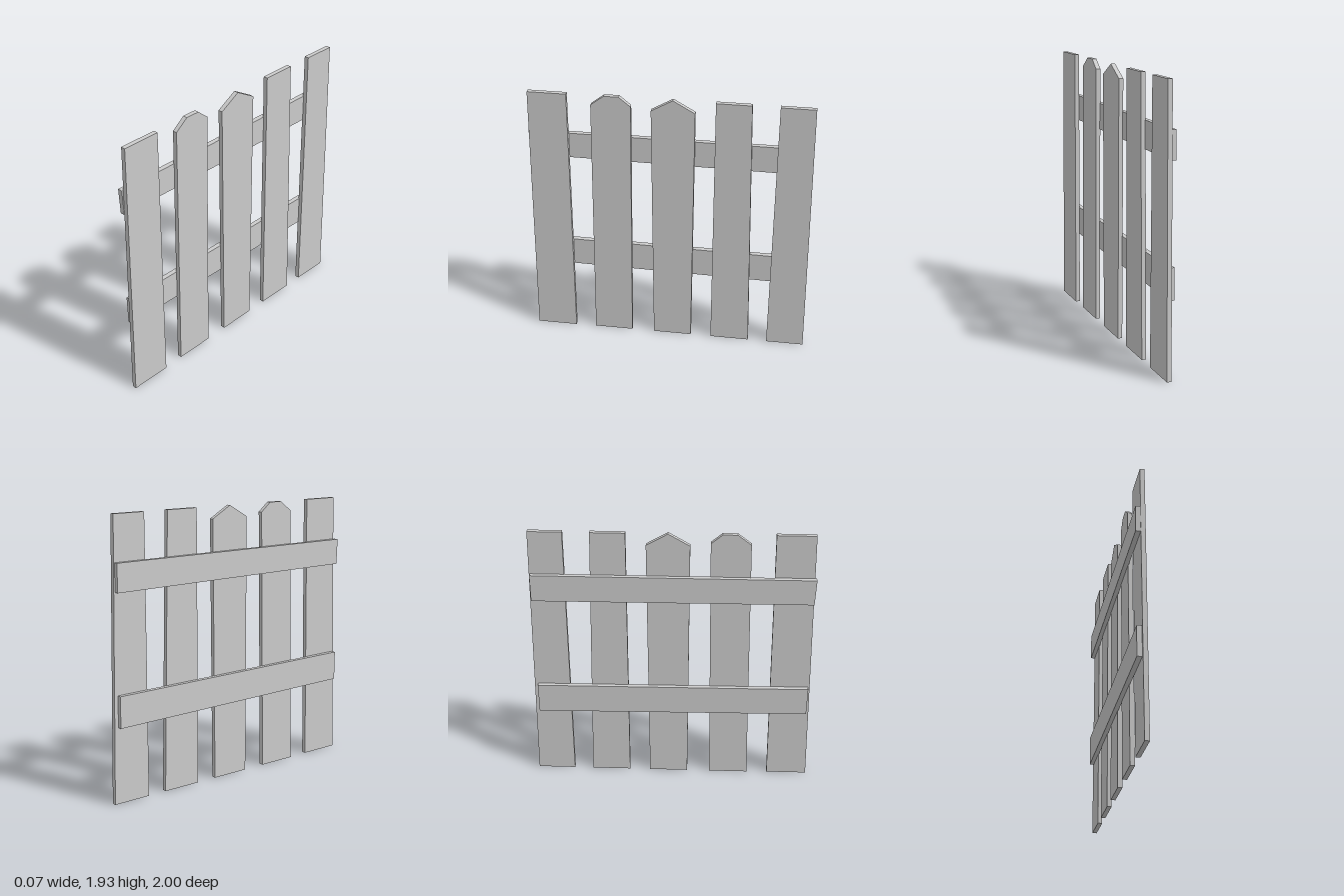
import * as THREE from 'three';

const material = new THREE.MeshStandardMaterial({ color: 0xcccccc, flatShading: true });

// A board cut from a (z, y) outline, filling x0..x1
function board(name, outline, x0, x1) {
  const shape = new THREE.Shape(outline.map(([z, y]) => new THREE.Vector2(z, y)));
  const geometry = new THREE.ExtrudeGeometry(shape, { depth: x1 - x0, bevelEnabled: false });
  geometry.rotateY(-Math.PI / 2).translate(x1, 0, 0);
  const mesh = new THREE.Mesh(geometry, material);
  mesh.name = name;
  return mesh;
}

export function createModel() {
  const group = new THREE.Group();
  group.name = 'picketFence';
  const top = 1.935;

  // Uneven pickets: flat, clipped and pointed tops
  const pickets = [
    [[0.71, 0], [1, 0], [0.953, top], [0.688, top]],
    [[0.28, 0], [0.56, 0], [0.527, 1.865], [0.435, top], [0.335, top], [0.257, 1.87]],
    [[-0.163, 0], [0.115, 0], [0.122, 1.85], [-0.025, top], [-0.173, 1.85]],
    [[-0.593, 0], [-0.313, 0], [-0.308, top], [-0.545, top]],
    [[-1, 0], [-0.73, 0], [-0.727, top], [-0.96, top]],
  ];
  pickets.forEach((outline, i) => {
    const shift = i === 0 ? 0.005 : 0;
    group.add(board(`picket${i + 1}`, outline, -0.005 + shift, 0.027 + shift));
  });

  // Slightly sloping rails behind the pickets
  group.add(board('upperRail', [[-0.96, 1.432], [0.965, 1.443], [0.972, 1.627], [-0.96, 1.625]], -0.035, -0.001));
  group.add(board('lowerRail', [[-0.96, 0.53], [0.968, 0.553], [0.97, 0.763], [-0.96, 0.748]], -0.035, -0.001));
  return group;
}
